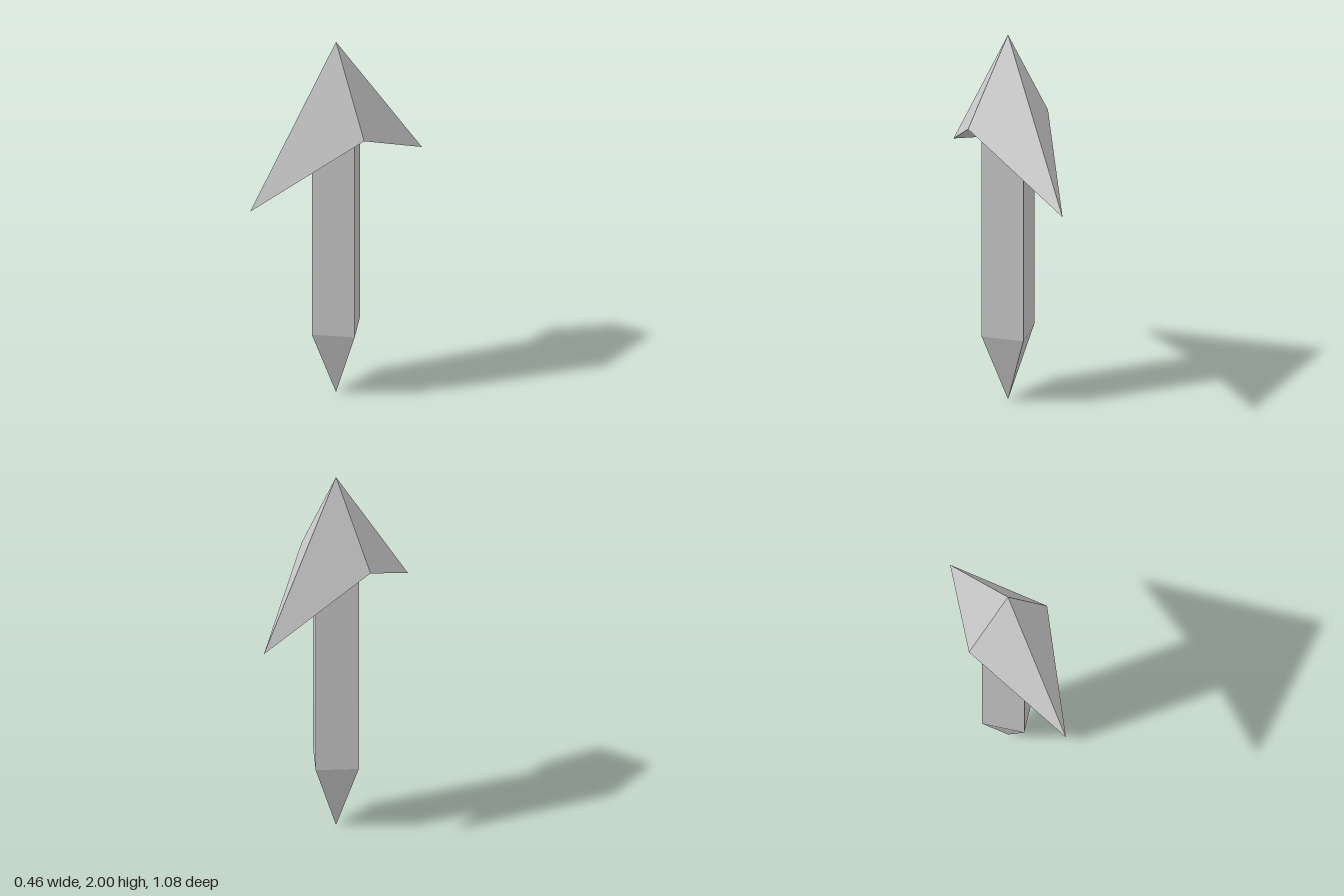
import * as THREE from 'three';

// Four-cornered cross-section: corners on +x, +z, -x, -z,
// with separate heights for the x pair and the z pair.
const ring = (rx, rz, yx, yz = yx) => [
  [rx, yx, 0], [0, yz, rz], [-rx, yx, 0], [0, yz, -rz],
];

// Skins a list of rings from top to bottom; a ring of zero size is a point.
function skin(name, rings, material) {
  const pos = [];
  const isPoint = (r) => r[0][0] === 0;
  for (let k = 0; k < rings.length - 1; k++) {
    const up = rings[k], low = rings[k + 1];
    for (let i = 0; i < 4; i++) {
      const j = (i + 1) % 4;
      if (!isPoint(up)) pos.push(...up[i], ...up[j], ...low[i]);
      if (!isPoint(low)) pos.push(...up[j], ...low[j], ...low[i]);
    }
  }
  const geometry = new THREE.BufferGeometry();
  geometry.setAttribute('position', new THREE.Float32BufferAttribute(pos, 3));
  geometry.computeVertexNormals();
  const mesh = new THREE.Mesh(geometry, material);
  mesh.name = name;
  return mesh;
}

export function createModel() {
  const group = new THREE.Group();
  group.name = 'arrow';
  const material = new THREE.MeshStandardMaterial({ color: 0xcccccc, flatShading: true });

  // Where the shaft meets the sloping underside of the head
  const collar = ring(0.152, 0.152, 1.503, 1.383);

  // Barbed head: apex, swept-back rim, underside
  group.add(skin('arrowHead', [ring(0, 0, 2), ring(0.23, 0.54, 1.535, 1.215), collar], material));

  // Square shaft
  const shaftEnd = ring(0.152, 0.152, 0.38);
  group.add(skin('shaft', [collar, shaftEnd], material));

  // Pointed lower tip
  group.add(skin('lowerTip', [shaftEnd, ring(0, 0, 0)], material));

  return group;
}
